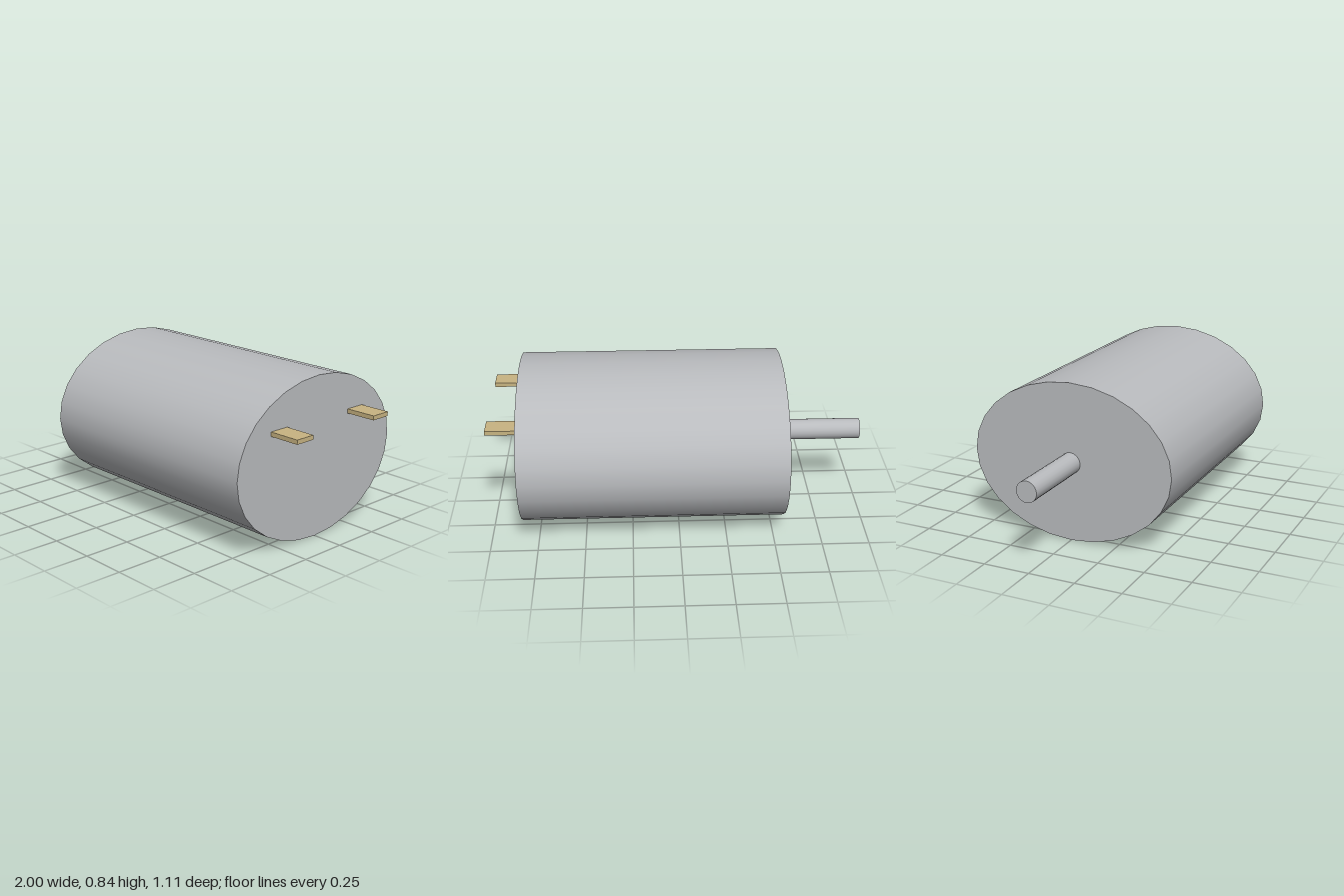
import * as THREE from 'three';

export function createModel() {
  const model = new THREE.Group();
  const steel = new THREE.MeshStandardMaterial({ color: 0xb9bbbe });
  steel.name = 'steel';
  const brass = new THREE.MeshStandardMaterial({ color: 0xc8b482 });
  brass.name = 'brass';
  const axisY = 0.422;

  // Elliptical rod lying along x, from x0 to x1
  function rod(name, x0, x1, radiusY, radiusZ, sides) {
    const geometry = new THREE.CylinderGeometry(1, 1, x1 - x0, sides);
    geometry.rotateZ(Math.PI / 2);
    geometry.scale(1, radiusY, radiusZ);
    geometry.translate((x0 + x1) / 2, axisY, 0);
    const mesh = new THREE.Mesh(geometry, steel);
    mesh.name = name;
    model.add(mesh);
  }

  // Motor can and output shaft
  rod('motorBody', -0.556, 0.833, 0.422, 0.556, 28);
  rod('shaft', -1, -0.556, 0.056, 0.056, 20);

  // Pair of flat terminals on the end face
  for (const side of [-1, 1]) {
    const terminal = new THREE.Mesh(new THREE.BoxGeometry(0.167, 0.023, 0.111), brass);
    terminal.name = side > 0 ? 'frontTerminal' : 'backTerminal';
    terminal.position.set(0.9165, 0.614, side * 0.278);
    model.add(terminal);
  }

  return model;
}
